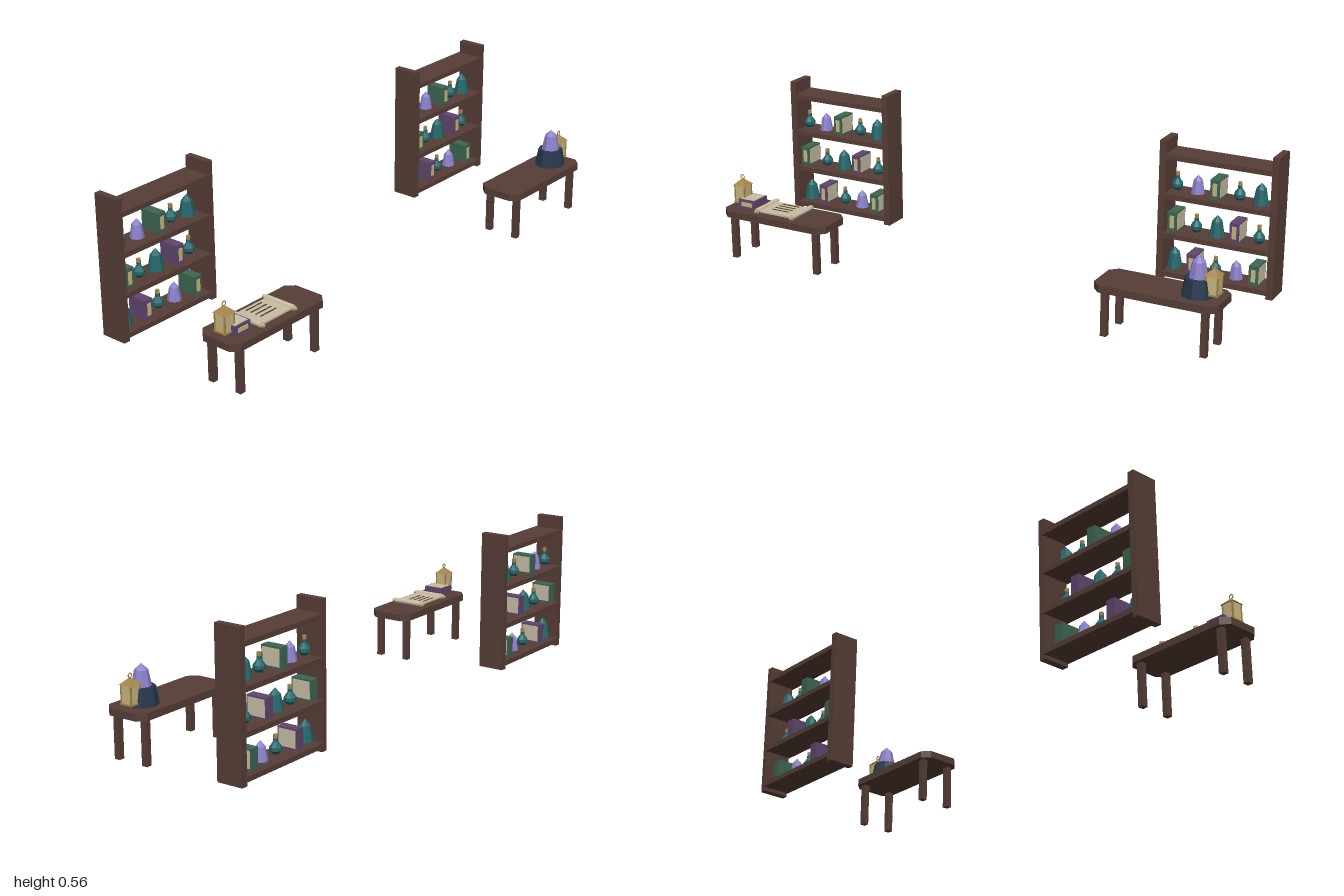
import * as THREE from 'three';

const mat = (name, color, side = THREE.FrontSide) => {
  const m = new THREE.MeshStandardMaterial({ color, side, flatShading: true });
  m.name = name;
  return m;
};

export function createModel() {
  const wood = mat('dark wood', 0x573e36);
  const teal = mat('teal glass', 0x23676b);
  const violet = mat('violet crystal', 0x8b82cc);
  const green = mat('green cover', 0x3d6652);
  const plum = mat('plum cover', 0x60466e);
  const paper = mat('paper', 0xc9bfa5);
  const glow = mat('lantern glass', 0xcbb880);
  const brass = mat('brass', 0xa5854d);
  const navy = mat('navy iron', 0x26384c);

  const add = (parent, name, geo, material, x = 0, y = 0, z = 0) => {
    const m = new THREE.Mesh(geo, material);
    m.name = name;
    m.position.set(x, y, z);
    parent.add(m);
    return m;
  };
  const group = (parent, name, x = 0, y = 0, z = 0) => {
    const g = new THREE.Group();
    g.name = name;
    g.position.set(x, y, z);
    parent.add(g);
    return g;
  };
  const box = (w, h, d) => new THREE.BoxGeometry(w, h, d);
  const lathe = (pts, n = 8) => new THREE.LatheGeometry(pts.map(p => new THREE.Vector2(...p)), n);

  // Round flask with a corked neck, standing on its origin
  const flask = (p, x, y, z) => {
    const g = group(p, 'flask', x, y, z);
    add(g, 'flaskBody', lathe([[0, 0], [0.012, 0.002], [0.021, 0.013], [0.021, 0.025],
      [0.012, 0.038], [0.008, 0.043], [0.008, 0.054], [0, 0.054]]), teal);
    add(g, 'cork', new THREE.CylinderGeometry(0.0075, 0.0075, 0.014, 8), brass, 0, 0.06);
  };
  // Tapered faceted jar with a pointed top
  const jar = (p, material, s, x, y, z) => {
    const g = group(p, 'taperedJar', x, y, z);
    add(g, 'jarBody', lathe([[0, 0], [0.029, 0], [0.019, 0.055], [0, 0.077]]), material).scale.setScalar(s);
  };
  // Book with a label on its front and page edges on its +x side
  const book = (p, cover, x, y, z) => {
    const g = group(p, 'book', x, y, z);
    add(g, 'cover', box(0.035, 0.072, 0.078), cover, 0, 0.036);
    add(g, 'label', box(0.016, 0.046, 0.004), glow, 0, 0.036, 0.039);
    add(g, 'pages', box(0.004, 0.06, 0.068), paper, 0.017, 0.036);
    return g;
  };
  // Square lantern with a pyramid roof and a carrying ring
  const lantern = (p, x, y, z) => {
    const g = group(p, 'lantern', x, y, z);
    add(g, 'lanternBase', box(0.05, 0.006, 0.05), brass, 0, 0.003);
    add(g, 'lanternGlass', box(0.043, 0.062, 0.043), glow, 0, 0.037);
    for (const sx of [-1, 1]) for (const sz of [-1, 1])
      add(g, 'lanternPost', box(0.005, 0.062, 0.005), brass, sx * 0.021, 0.037, sz * 0.021);
    add(g, 'lanternRoof', new THREE.ConeGeometry(0.038, 0.025, 4).rotateY(Math.PI / 4), brass, 0, 0.08);
    add(g, 'lanternRing', new THREE.TorusGeometry(0.008, 0.002, 5, 12), brass, 0, 0.098);
  };

  // What stands on the shelves, bottom row first
  const stock = {
    f: (p, x, y) => flask(p, x, y, 0),
    t: (p, x, y) => jar(p, teal, 1, x, y, 0),
    v: (p, x, y) => jar(p, violet, 0.88, x, y, 0),
    g: (p, x, y) => book(p, green, x, y, 0),
    p: (p, x, y) => book(p, plum, x, y, 0),
  };
  const rows = ['tpfvg', 'gftpf', 'fvgft'];

  const shelf = (p, x) => {
    const g = group(p, 'shelf', x, 0, -0.245);
    for (const s of [-1, 1]) add(g, 'shelfSide', box(0.025, 0.518, 0.1), wood, s * 0.2075, 0.296);
    for (let i = 0; i < 4; i++) {
      const y = 0.061 + i * 0.146;
      add(g, 'shelfBoard', box(0.404, 0.018, 0.11), wood, 0, y);
      [...(rows[i] || '')].forEach((k, j) => stock[k](g, (j - 2) * 0.078 - 0.013, y + 0.013));
    }
  };

  // Table with cut corners
  const table = (p, x) => {
    const g = group(p, 'table', x, 0, 0.215);
    const w = 0.223, d = 0.085, c = 0.028;
    const outline = new THREE.Shape([[-w + c, -d], [w - c, -d], [w, -d + c], [w, d - c],
      [w - c, d], [-w + c, d], [-w, d - c], [-w, -d + c]].map(q => new THREE.Vector2(...q)));
    const top = new THREE.ExtrudeGeometry(outline, { depth: 0.026, bevelEnabled: false });
    add(g, 'tableTop', top.rotateX(-Math.PI / 2), wood, 0, 0.162);
    for (const sx of [-1, 1]) for (const sz of [-1, 1])
      add(g, 'tableLeg', box(0.022, 0.165, 0.022), wood, sx * 0.18, 0.0825, sz * 0.06);
    return g;
  };

  const model = new THREE.Group();
  model.name = 'potionShop';
  for (const s of [-1, 1]) shelf(model, s * 0.779);

  // Reading table: lantern, lying book and open scroll
  const reading = table(model, -0.761);
  lantern(reading, -0.181, 0.2, 0);
  const lying = book(reading, plum, -0.103, 0.206, 0);
  lying.rotation.z = Math.PI / 2;
  const scroll = group(reading, 'scroll', 0.001, 0.19, 0);
  add(scroll, 'scrollSheet', box(0.155, 0.006, 0.115), paper, 0, 0.007);
  for (const s of [-1, 1]) {
    add(scroll, 'scrollRoll', new THREE.CylinderGeometry(0.01, 0.01, 0.124, 8).rotateX(Math.PI / 2), paper, s * 0.077, 0.01);
    add(scroll, 'scrollRod', new THREE.CylinderGeometry(0.006, 0.006, 0.145, 8).rotateX(Math.PI / 2), glow, s * 0.077, 0.01);
  }
  for (let i = 0; i < 4; i++)
    add(scroll, 'inkLine', box(0.075, 0.002, 0.005), wood, 0, 0.0105, -0.043 + i * 0.021);

  // Crystal table: crystal on an iron pedestal, with a lantern beside it
  const display = table(model, 0.758);
  lantern(display, 0.181, 0.2, 0);
  add(display, 'pedestal', new THREE.CylinderGeometry(0.047, 0.058, 0.063, 8), navy, 0.127, 0.2195);
  add(display, 'crystal', lathe([[0, 0], [0.034, 0], [0.023, 0.055], [0, 0.076]]), violet, 0.127, 0.251);
  return model;
}
